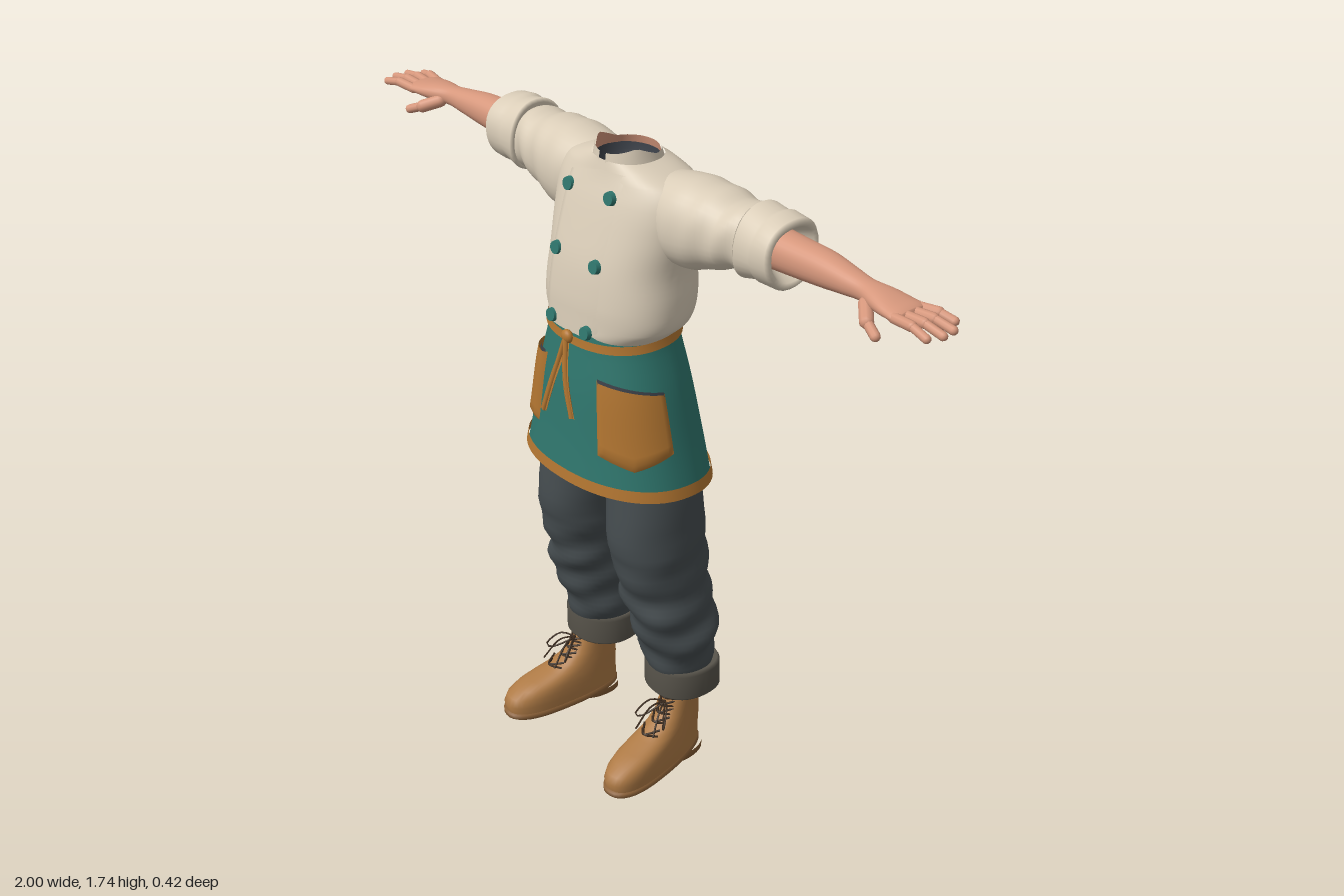
import * as THREE from 'three';

const mat = (name, color, side = THREE.FrontSide) => {
  const m = new THREE.MeshStandardMaterial({ color, side });
  m.name = name;
  return m;
};

// Smooth lookup in a table of sections [key, ...values], ordered by key
function sample(rows, k) {
  let i = 0;
  while (i < rows.length - 2 && k > rows[i + 1][0]) i++;
  const a = rows[i], b = rows[i + 1], h = b[0] - a[0];
  const t = Math.min(1, Math.max(0, (k - a[0]) / h));
  const slope = (j, c) => {
    const p = rows[Math.max(0, j - 1)], n = rows[Math.min(rows.length - 1, j + 1)];
    return (n[c] - p[c]) / (n[0] - p[0]);
  };
  return a.map((v, c) => c === 0 ? k :
    (2 * t ** 3 - 3 * t * t + 1) * v + (t ** 3 - 2 * t * t + t) * h * slope(i, c) +
    (3 * t * t - 2 * t ** 3) * b[c] + (t ** 3 - t * t) * h * slope(i + 1, c));
}

// Grid surface from a rule fn(u, v) -> [x, y, z]; u may wrap around
function surface(fn, nu, nv, closed = false, flip = false) {
  const pos = [], idx = [], w = closed ? nu : nu + 1;
  for (let j = 0; j <= nv; j++) for (let i = 0; i < w; i++) pos.push(...fn(i / nu, j / nv));
  for (let j = 0; j < nv; j++) for (let i = 0; i < nu; i++) {
    const a = j * w + i, b = j * w + (i + 1) % w, c = b + w, d = a + w;
    idx.push(...(flip ? [a, c, b, a, d, c] : [a, b, c, a, c, d]));
  }
  const g = new THREE.BufferGeometry();
  g.setAttribute('position', new THREE.Float32BufferAttribute(pos, 3));
  g.setIndex(idx);
  g.computeVertexNormals();
  return g;
}

const TAU = Math.PI * 2;
const pw = (v, n) => Math.sign(v) * Math.abs(v) ** (2 / n);

// Tube of oval sections: along y rows are [y, cx, cz, rx, rz], along x rows are [x, cy, cz, ry, rz]
function loft(rows, { axis = 'y', n = 2.2, sides = 36, smooth = true, fold = () => 0 } = {}) {
  const steps = (rows.length - 1) * (smooth ? 5 : 1);
  return surface((u, v) => {
    const f = v * (rows.length - 1), i = Math.min(rows.length - 2, Math.floor(f + 1e-6));
    const k = rows[i][0] + (rows[i + 1][0] - rows[i][0]) * (f - i);
    const r = smooth ? sample(rows, k) : rows[Math.round(f)];
    const a = u * TAU, q = 1 + fold(a, r[0]);
    const s = pw(Math.sin(a), n) * r[3] * q, c = pw(Math.cos(a), n) * r[4] * q;
    return axis === 'y' ? [r[1] + s, r[0], r[2] + c] : [r[0], r[1] - s, r[2] + c];
  }, sides, steps, true);
}

// Rounded rod between two points
function rod(p, q, r) {
  const a = new THREE.Vector3(...p), b = new THREE.Vector3(...q), d = b.clone().sub(a);
  const g = new THREE.CapsuleGeometry(r, d.length(), 4, 10);
  g.applyQuaternion(new THREE.Quaternion().setFromUnitVectors(new THREE.Vector3(0, 1, 0), d.normalize()));
  return g.translate(...a.add(b).multiplyScalar(0.5).toArray());
}
const cord = (pts, r) => new THREE.TubeGeometry(
  new THREE.CatmullRomCurve3(pts.map(p => new THREE.Vector3(...p))), 14, r, 6);

function mirrored(g) {
  const m = g.clone().scale(-1, 1, 1), ix = m.index.array;
  for (let i = 0; i < ix.length; i += 3) [ix[i], ix[i + 1]] = [ix[i + 1], ix[i]];
  return m;
}

const JACKET = [[1.265, 0, 0, 0.155, 0.125], [1.285, 0, 0, 0.172, 0.135], [1.315, 0, -0.012, 0.2, 0.145],
  [1.37, 0, -0.02, 0.206, 0.15], [1.46, 0, -0.03, 0.2, 0.146], [1.55, 0, -0.045, 0.212, 0.135],
  [1.62, 0, -0.055, 0.215, 0.122], [1.665, 0, -0.056, 0.19, 0.105], [1.69, 0, -0.05, 0.13, 0.092],
  [1.705, 0, -0.042, 0.088, 0.08]];
const APRON = [[0.87, 0, -0.012, 0.268, 0.193], [1, 0, -0.01, 0.238, 0.177], [1.15, 0, -0.003, 0.207, 0.158],
  [1.27, 0, 0, 0.173, 0.139], [1.31, 0, 0, 0.167, 0.137]];

// Point on the front of the jacket
function onJacket(x, y, off) {
  const [, , cz, rx, rz] = sample(JACKET, y), n = 2.3;
  const s = Math.min(1, (Math.abs(x) / rx) ** (n / 2));
  return [x, y, cz + rz * Math.sqrt(1 - s * s) ** (2 / n) + off];
}
// Point around the apron
function onApron(a, y, off) {
  const [, , cz, rx, rz] = sample(APRON, y);
  return [pw(Math.sin(a), 2.2) * (rx + off), y, cz + pw(Math.cos(a), 2.2) * (rz + off)];
}
const hem = a => 0.883 + 0.012 * Math.cos(a);

export function createModel() {
  const root = new THREE.Group();
  root.name = 'headlessUniform';
  const cream = mat('creamCloth', 0xdacdb8), teal = mat('tealCloth', 0x2f766d, THREE.DoubleSide);
  const ochre = mat('ochreTrim', 0xb37631, THREE.DoubleSide), denim = mat('charcoalCloth', 0x454c4f);
  const cuffGrey = mat('cuffGrey', 0x57534a), skin = mat('skin', 0xd6977c);
  const leather = mat('tanLeather', 0xae7a45), sole = mat('soleBrown', 0x8c6137);
  const lace = mat('darkLace', 0x3b2b1e), lining = mat('darkLining', 0x3c4149);
  const add = (name, geo, m) => {
    const mesh = new THREE.Mesh(geo, m);
    mesh.name = name;
    root.add(mesh);
  };
  const pair = (name, geo, m) => {
    add(name + 'Left', geo, m);
    add(name + 'Right', mirrored(geo), m);
  };

  // Jacket body, overlapping front flap and buttons
  add('jacket', loft(JACKET, { n: 2.3, sides: 56,
    fold: (a, y) => 0.012 * Math.sin(a * 5 + y * 25) * (1 - Math.cos(a)) / 2 * (y < 1.6 ? 1 : 0) }), cream);
  add('jacketFlap', surface((u, v) => onJacket(-0.105 + 0.23 * u, 1.285 + v * (0.37 + 0.03 * Math.min(1, u * 2)),
    u === 0 ? -0.003 : 0.012 - 0.015 * u), 20, 20), cream);
  for (const [x, y] of [[0.065, 1.635], [0.068, 1.475], [0.06, 1.305], [-0.085, 1.625], [-0.077, 1.475], [-0.07, 1.305]]) {
    const p = onJacket(x, y, 0.013);
    add('button', new THREE.CylinderGeometry(0.016, 0.018, 0.012, 16).rotateX(Math.PI / 2 - 0.15).translate(...p), teal);
  }

  // Standing collar with a front notch, its inner face and the dark inside
  const collar = (grow, flip) => surface((u, v) => {
    const a = 0.14 + u * (TAU - 0.28), c = Math.cos(a);
    const top = 1.715 + 0.025 * Math.max(0, 1 - Math.abs(c - 0.45) * 1.3);
    const low = 1.685 - 0.02 * Math.max(0, c);
    return [Math.sin(a) * (0.087 - 0.012 * v + grow), low + (top - low) * v,
      -0.042 + c * (0.083 - 0.008 * v + grow)];
  }, 40, 4, false, flip);
  add('collar', collar(0.004, false), cream);
  add('collarInside', collar(0, true), skin);
  add('neckHollow', surface((u, v) => {
    const r = Math.sin(v * Math.PI / 2), a = u * TAU;
    return [Math.sin(a) * r * 0.084, 1.695 - 0.09 * Math.cos(v * Math.PI / 2), -0.042 + Math.cos(a) * r * 0.078];
  }, 32, 8, true, true), lining);

  // Sleeves with gathered folds and rolled cuffs
  pair('sleeve', loft([[0.09, 1.595, -0.07, 0.085, 0.08], [0.2, 1.587, -0.075, 0.112, 0.104],
    [0.27, 1.592, -0.08, 0.105, 0.1], [0.34, 1.6, -0.085, 0.086, 0.09], [0.38, 1.603, -0.087, 0.08, 0.082],
    [0.43, 1.605, -0.088, 0.074, 0.078]], { axis: 'x',
    fold: (a, x) => x < 0.2 ? 0 : 0.05 * Math.sin(x * 75 + Math.sin(a) * 2.5) * (x - 0.2) / 0.2 }), cream);
  pair('sleeveCuff', loft([[0.412, 1.607, -0.088, 0.06, 0.06], [0.402, 1.607, -0.088, 0.084, 0.082],
    [0.41, 1.607, -0.088, 0.092, 0.088], [0.455, 1.607, -0.088, 0.083, 0.082], [0.468, 1.607, -0.087, 0.088, 0.086],
    [0.51, 1.607, -0.086, 0.085, 0.083], [0.518, 1.607, -0.086, 0.078, 0.077], [0.515, 1.607, -0.086, 0.066, 0.066],
    [0.47, 1.607, -0.087, 0.045, 0.045]], { axis: 'x', smooth: false, fold: (a, x) => 0.03 * Math.sin(a * 3 + x * 30) }), cream);

  // Forearm and palm in one loft, then fingers and thumb
  pair('forearm', loft([[0.45, 1.607, -0.088, 0.05, 0.05], [0.53, 1.608, -0.088, 0.046, 0.046],
    [0.62, 1.61, -0.088, 0.041, 0.042], [0.7, 1.611, -0.083, 0.031, 0.034], [0.75, 1.611, -0.08, 0.025, 0.03],
    [0.8, 1.61, -0.077, 0.024, 0.042], [0.85, 1.609, -0.074, 0.018, 0.05], [0.885, 1.608, -0.073, 0.013, 0.046],
    [0.892, 1.608, -0.073, 0.001, 0.01]], { axis: 'x', sides: 28 }), skin);
  [[-0.113, -0.128, 0.958], [-0.087, -0.094, 0.985], [-0.06, -0.058, 0.989], [-0.034, -0.022, 0.975]].forEach(([z, z2, x], i) => {
    const mid = [(x + 0.88) / 2, 1.611, (z + z2) / 2];
    pair('finger' + i, rod([0.87, 1.607, z], mid, 0.0125), skin);
    pair('fingertip' + i, rod(mid, [x, 1.602, z2], 0.0105), skin);
  });
  pair('thumb', rod([0.775, 1.597, -0.05], [0.81, 1.58, -0.018], 0.017), skin);
  pair('thumbTip', rod([0.81, 1.58, -0.018], [0.85, 1.564, -0.004], 0.012), skin);

  // Apron skirt, hem, waistband
  const band = (lo, hi, off, nv) => surface((u, v) => {
    const a = u * TAU;
    return onApron(a, lo(a) + (hi(a) - lo(a)) * v, off);
  }, 64, nv, true);
  add('apron', band(hem, a => 1.298 - 0.006 * Math.cos(a), 0, 14), teal);
  add('apronHem', band(a => hem(a) - 0.002, a => hem(a) + 0.028, 0.005, 2), ochre);
  add('waistband', band(a => 1.267 - 0.007 * Math.cos(a), a => 1.289 - 0.007 * Math.cos(a), 0.008, 2), ochre);

  // Pockets wrapping the apron sides, with a shadowed opening
  pair('pocket', surface((u, v) => {
    const top = 1.19 - 0.032 * u, low = 1 - 0.035 * (1 - Math.abs(u - 0.45) / 0.55);
    const edge = u === 0 || u === 1 || v === 0;
    return onApron(0.46 + 1.02 * u, low + (top - low) * v, edge ? 0.001 : 0.012);
  }, 20, 10), ochre);
  pair('pocketOpening', surface((u, v) => onApron(0.48 + 0.98 * u, 1.183 - 0.032 * u + 0.012 * v, 0.006), 16, 1), lining);

  // Tied knot and hanging ribbon ends
  add('knot', new THREE.SphereGeometry(0.018, 16, 12).scale(1, 1, 0.7).translate(0, 1.276, 0.15), ochre);
  for (const [x, y] of [[-0.058, 1.06], [0.05, 1.08]]) {
    add('ribbon', surface((u, v) => {
      const px = x * v ** 1.3 + (u - 0.5) * 0.022, py = 1.275 + (y - 1.275) * v;
      return [px, py, sample(APRON, py)[4] + 0.012 + 0.008 * Math.sin(v * Math.PI)];
    }, 2, 12), ochre);
    add('ribbonEdge', cord([[0, 1.275, 0.155], [x * 0.42, (1.275 + y) / 2, 0.173], [x, y, 0.18]], 0.007), ochre);
  }

  // Trousers: hips, baggy creased legs, turned-up cuffs
  add('hips', new THREE.SphereGeometry(1, 32, 16).scale(0.2, 0.13, 0.145).translate(0, 0.99, -0.015), denim);
  const crease = (a, y) => {
    const k = Math.min(1, Math.max(0, (0.78 - y) / 0.25));
    return k * (0.055 * Math.sin(y * 62 + Math.sin(a + 0.6) * 2.2) + 0.03 * Math.sin(a * 3 - y * 40));
  };
  pair('trouserLeg', loft([[0.25, 0.16, -0.095, 0.075, 0.075], [0.33, 0.156, -0.085, 0.092, 0.092],
    [0.42, 0.163, -0.07, 0.104, 0.108], [0.5, 0.155, -0.055, 0.101, 0.12], [0.58, 0.149, -0.04, 0.099, 0.122],
    [0.7, 0.142, -0.022, 0.106, 0.134], [0.88, 0.127, -0.02, 0.107, 0.122], [1, 0.1, -0.02, 0.1, 0.115]],
  { sides: 44, fold: crease }), denim);
  pair('trouserCuff', loft([[0.25, 0.163, -0.097, 0.06, 0.06], [0.222, 0.163, -0.097, 0.082, 0.08],
    [0.217, 0.163, -0.097, 0.094, 0.09], [0.225, 0.163, -0.097, 0.101, 0.096], [0.295, 0.163, -0.095, 0.1, 0.096],
    [0.305, 0.163, -0.095, 0.093, 0.09], [0.29, 0.163, -0.095, 0.07, 0.07]],
  { smooth: false, fold: a => 0.025 * Math.sin(a * 3 + 1) }), cuffGrey);

  // Boots: stacked rings [y, heel z, toe z, half width], wider at the toe and turned out
  const place = g => g.rotateY(0.15).translate(0.18, 0, -0.085);
  const boot = (rows, flare) => place(surface((u, v) => {
    const [y, back, front, w] = rows[Math.round(v * (rows.length - 1))], a = u * TAU, c = Math.cos(a);
    return [pw(Math.sin(a), 2.4) * w * (1 + flare * c * Math.min(1, (front - back) / 0.35)), y,
      (back + front) / 2 + pw(c, 2.4) * (front - back) / 2];
  }, 40, rows.length - 1, true));
  pair('boot', boot([[0.024, -0.06, 0.287, 0.055], [0.05, -0.059, 0.293, 0.056], [0.072, -0.058, 0.283, 0.055],
    [0.09, -0.058, 0.255, 0.053], [0.104, -0.058, 0.215, 0.05], [0.118, -0.058, 0.165, 0.047], [0.135, -0.056, 0.125, 0.045],
    [0.16, -0.053, 0.09, 0.043], [0.2, -0.053, 0.066, 0.043], [0.24, -0.056, 0.06, 0.045],
    [0.242, -0.04, 0.045, 0.03]], 0.22), leather);
  pair('sole', boot([[0.008, 0.1, 0.12, 0.003], [0.008, -0.06, 0.285, 0.054], [0.014, -0.063, 0.294, 0.058],
    [0.027, -0.063, 0.295, 0.058], [0.03, -0.05, 0.28, 0.05]], 0.22), sole);
  pair('heel', boot([[0, 0, 0.01, 0.003], [0, -0.062, 0.07, 0.048], [0.02, -0.062, 0.075, 0.049]], 0.05), sole);

  // Laces: crossing rungs and loose loops
  for (let i = 0; i < 5; i++) {
    const y = 0.128 + i * 0.02, z = [0.152, 0.112, 0.093, 0.082, 0.074][i];
    for (const s of [-1, 1]) {
      pair('laceRung', place(cord([[-0.027 * s, y, z - 0.022], [0, y + 0.008, z + 0.003], [0.027 * s, y + 0.016, z - 0.03]], 0.003)), lace);
    }
  }
  for (const s of [-1, 1]) {
    pair('laceLoop', place(cord([[0, 0.2, 0.07], [0.03 * s, 0.205, 0.1], [0.05 * s, 0.165, 0.135],
      [0.04 * s, 0.16, 0.125], [0, 0.195, 0.072]], 0.0025)), lace);
    pair('laceEnd', place(cord([[0, 0.2, 0.07], [0.015 * s, 0.195, 0.11], [0.03 * s, 0.14, 0.155]], 0.0025)), lace);
  }
  return root;
}
